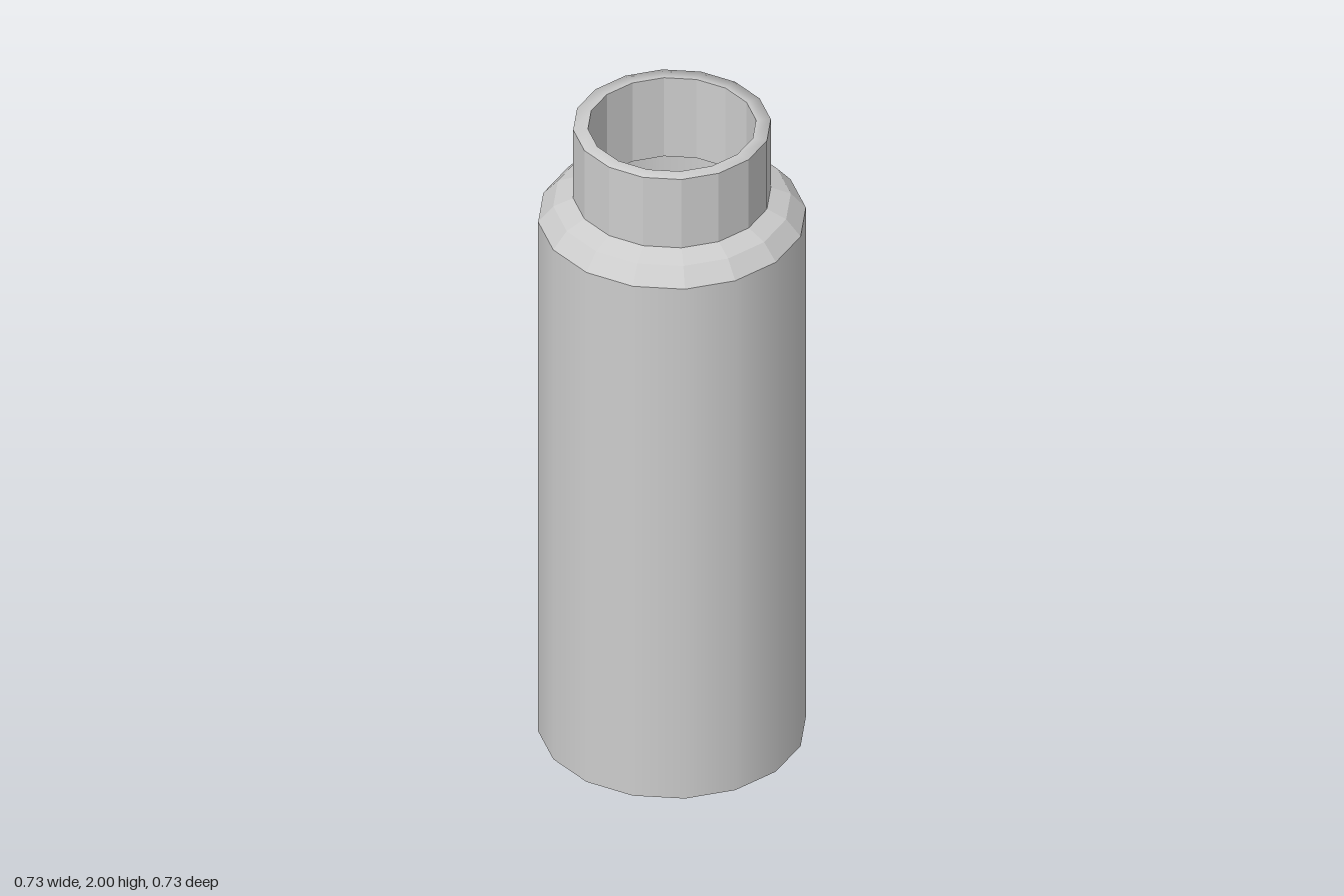
import * as THREE from 'three';

const SIDES = 16;

// Revolves a profile; flat parts get one normal per face
function turned(name, material, profile, flat) {
  let geometry = new THREE.LatheGeometry(profile.map(([r, y]) => new THREE.Vector2(r, y)), SIDES);
  if (flat) {
    geometry = geometry.toNonIndexed();
    geometry.computeVertexNormals();
  }
  const mesh = new THREE.Mesh(geometry, material);
  mesh.name = name;
  return mesh;
}

export function createModel() {
  const bottle = new THREE.Group();
  bottle.name = 'bottle';
  const grey = new THREE.MeshStandardMaterial({ color: 0xcccccc });
  grey.name = 'light grey';

  // Outer shell, from the base up to the mouth
  bottle.add(
    turned('base', grey, [[0, 0], [0.28, 0], [0.363, 0.052]], false),
    turned('body', grey, [[0.363, 0.052], [0.363, 1.707]], false),
    turned('shoulder', grey, [[0.363, 1.707], [0.322, 1.755], [0.268, 1.778]], true),
    turned('neck', grey, [[0.268, 1.778], [0.268, 2]], true)
  );

  // Rim, with normals leaning outward at its outer edge for a soft lip
  const rim = turned('rim', grey, [[0.268, 2], [0.228, 2]], false);
  const { position, normal } = rim.geometry.attributes;
  const n = new THREE.Vector3();
  for (let i = 0; i < position.count; i++) {
    n.set(position.getX(i), 0, position.getZ(i));
    const lean = n.length() > 0.25 ? 1 : 0;
    n.normalize().multiplyScalar(lean).setY(1).normalize();
    normal.setXYZ(i, n.x, n.y, n.z);
  }
  bottle.add(rim);

  // Inner shell, from the mouth down to the floor
  bottle.add(
    turned('innerNeck', grey, [[0.228, 2], [0.228, 1.745]], true),
    turned('innerShoulder', grey, [[0.228, 1.745], [0.295, 1.725], [0.323, 1.69]], true),
    turned('innerWall', grey, [[0.323, 1.69], [0.323, 0.075]], false),
    turned('innerFloor', grey, [[0.323, 0.075], [0.268, 0.04], [0, 0.04]], false)
  );

  return bottle;
}
